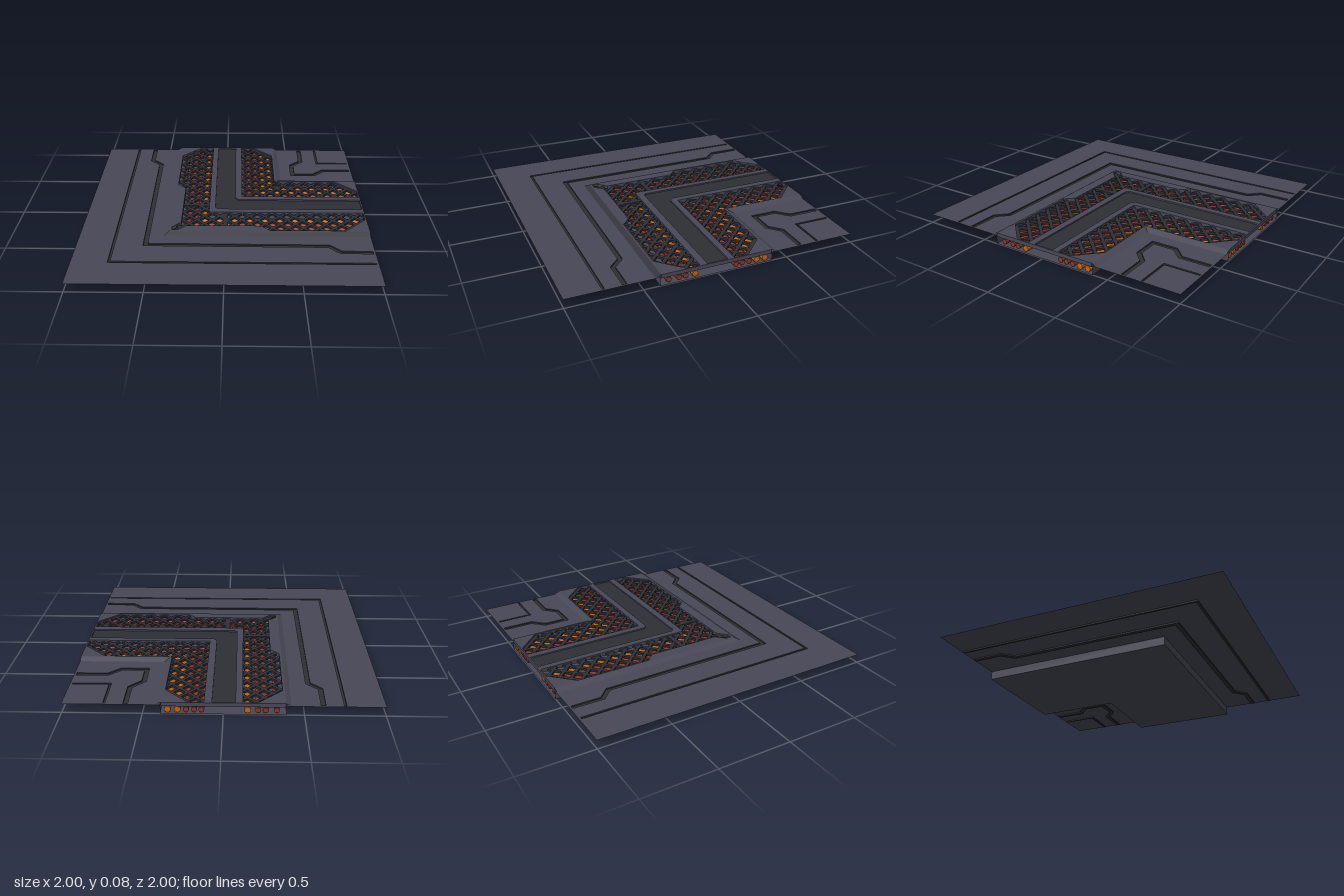
import * as THREE from 'three';

const mat = (name, color) => new THREE.MeshStandardMaterial({ name, color, side: THREE.DoubleSide });

// Heights
const SHEET = 0.061, GROOVE = 0.052, DECK = 0.08, PATH = 0.07;

// Plan outlines are lists of [x, z]
const toPath = (pts, Type) => new Type(pts.map(([x, z]) => new THREE.Vector2(x, -z)));
const mirror = pts => pts.map(([x, z]) => [-z, -x]).reverse();
const symmetric = half => [...half, ...mirror(half)];

function plate(outline, holes, y, height = 0) {
  const shape = toPath(outline, THREE.Shape);
  shape.holes = holes.map(h => toPath(h, THREE.Path));
  const geo = height
    ? new THREE.ExtrudeGeometry(shape, { depth: height, bevelEnabled: false })
    : new THREE.ShapeGeometry(shape);
  return geo.rotateX(-Math.PI / 2).translate(0, y, 0);
}

// Strip of quads between two plan lines at two heights
function strip(a, ya, b, yb, closed = false) {
  const pos = [], n = a.length;
  for (let i = 0; i < (closed ? n : n - 1); i++) {
    const j = (i + 1) % n;
    const p = [a[i][0], ya, a[i][1]], q = [a[j][0], ya, a[j][1]];
    const r = [b[j][0], yb, b[j][1]], s = [b[i][0], yb, b[i][1]];
    pos.push(...p, ...q, ...r, ...p, ...r, ...s);
  }
  const geo = new THREE.BufferGeometry();
  geo.setAttribute('position', new THREE.Float32BufferAttribute(pos, 3));
  geo.computeVertexNormals();
  return geo;
}

// Mitred band of a given width along a plan line
function band(path, width) {
  const side = d => path.map(([x, z], i) => {
    const dir = (a, b) => new THREE.Vector2(b[0] - a[0], b[1] - a[1]).normalize();
    const d1 = dir(path[Math.max(i - 1, 0)], path[Math.max(i, 1)]);
    const last = path.length - 1;
    const d2 = dir(path[Math.min(i, last - 1)], path[Math.min(i + 1, last)]);
    const nx = -d1.y - d2.y, nz = d1.x + d2.x, k = d / (1 + d1.dot(d2));
    return [x + nx * k, z + nz * k];
  });
  return [...side(width / 2), ...side(-width / 2).reverse()];
}

// Pieces of the line along dir through point p that lie inside an outline
function clipLine(p, dir, outline) {
  const hits = [];
  outline.forEach((a, i) => {
    const b = outline[(i + 1) % outline.length];
    const side = q => (q[0] - p[0]) * dir[1] - (q[1] - p[1]) * dir[0];
    const sa = side(a), sb = side(b);
    if ((sa > 0) === (sb > 0)) return;
    const t = sa / (sa - sb);
    const x = a[0] + (b[0] - a[0]) * t, z = a[1] + (b[1] - a[1]) * t;
    hits.push((x - p[0]) * dir[0] + (z - p[1]) * dir[1]);
  });
  hits.sort((u, v) => u - v);
  const out = [];
  for (let i = 0; i + 1 < hits.length; i += 2) out.push([hits[i], hits[i + 1]]);
  return out;
}

export function createModel() {
  const model = new THREE.Group();
  model.name = 'cornerFloorTile';
  const panel = mat('panelGrey', 0x484756);
  const dark = mat('darkMetal', 0x2e2e36);
  const trim = mat('trimGrey', 0x35343e);
  const orange = mat('orangePipe', 0xc8640f);
  const red = mat('redPipe', 0x8a3626);
  const add = (name, geo, material, parent = model) => {
    const mesh = new THREE.Mesh(geo, material);
    mesh.name = name;
    parent.add(mesh);
    return mesh;
  };
  const group = name => {
    const g = new THREE.Group();
    g.name = name;
    model.add(g);
    return g;
  };

  // L-shaped lines running from the back edge to the left edge
  const outerL = d => [[-d, -1], [-d, d], [1, d]];
  const innerL = d => [[d, -1], [d, -d], [1, -d]];
  const fullL = d => [...outerL(d), ...innerL(d).reverse()];

  // Inlaid grooves
  const E = 0.985;
  const outerGrooves = [
    band([[-0.75, -E], [-0.75, 0.75], [E, 0.75]], 0.016),
    band(symmetric([[-0.615, -E], [-0.615, -0.775], [-0.54, -0.7], [-0.54, 0.53]].slice(0, 3)
      .concat([[-0.535, 0.535]])).filter((p, i) => i !== 4), 0.03),
  ];
  const innerGrooves = [
    band([[0.738, -E], [0.738, -0.738], [E, -0.738]], 0.014),
    band([[0.605, -E], [0.605, -0.775], [0.525, -0.695], [0.525, -0.53],
      [0.695, -0.53], [0.775, -0.605], [E, -0.605]], 0.03),
  ];
  const grooves = group('grooves');
  for (const g of [...outerGrooves, ...innerGrooves]) {
    add('grooveFloor', plate(g, [], GROOVE), dark, grooves);
    add('grooveWalls', strip(g, GROOVE, g, SHEET, true), dark, grooves);
  }

  // Flat ground sheets on both sides of the duct
  add('outerSheet', plate([...outerL(0.39), [1, 1], [-1, 1], [-1, -1]], outerGrooves, SHEET), panel);
  add('innerSheet', plate([...innerL(0.39), [1, -1]], innerGrooves, SHEET), panel);

  // Duct under the deck, open at both ends
  add('ductFloor', plate(fullL(0.39), [], 0), panel);
  for (const line of [outerL(0.39), innerL(0.39)])
    add('ductWall', strip(line, 0, line, SHEET), panel);

  // Openings in the raised deck
  const outerOpening = [
    ...symmetric([[-0.12, -0.99], [-0.215, -0.99], [-0.37, -0.835], [-0.37, -0.31],
      [-0.31, -0.25], [-0.31, 0.27], [-0.37, 0.33], [-0.37, 0.37]]).filter((p, i) => i !== 8),
    [-0.12, 0.12]];
  const innerOpening = [[0.12, -0.99], [0.22, -0.99], [0.37, -0.84], [0.37, -0.37],
    [0.84, -0.37], [0.99, -0.22], [0.99, -0.12], [0.12, -0.12]];
  const walkway = [[-0.075, -0.99], [-0.075, 0.05], [-0.055, 0.07], [0.99, 0.07],
    [0.99, -0.075], [0.095, -0.075], [0.07, -0.1], [0.07, -0.99]];

  // Raised deck with sloping edges
  add('deck', plate(fullL(0.385), [outerOpening, innerOpening, walkway], 0.053, DECK - 0.053), panel);
  add('walkwayFloor', plate(walkway, [], PATH), dark);
  const low = outerL(0.42), high = outerL(0.385);
  add('outerSideSlope', strip(low.slice(0, 2), SHEET, high.slice(0, 2), DECK), panel);
  add('outerFrontSlope', strip(low.slice(1), SHEET, high.slice(1), DECK), trim);
  add('innerSlope', strip(innerL(0.42), SHEET, innerL(0.385), DECK), panel);

  // Diagonal grating in the openings
  const grating = group('grating');
  const pitch = 0.107, h = Math.SQRT1_2;
  for (const opening of [outerOpening, innerOpening])
    for (const s of [1, -1])
      for (let k = -20; k <= 20; k++) {
        const p = [k * pitch + 0.013, 0], dir = [h, s * h];
        for (const [t0, t1] of clipLine(p, dir, opening)) {
          const m = (t0 + t1) / 2;
          const bar = add('gratingBar', new THREE.BoxGeometry(t1 - t0, 0.014, 0.024), dark, grating);
          bar.position.set(p[0] + dir[0] * m, 0.064, p[1] + dir[1] * m);
          bar.rotation.y = -s * Math.PI / 4;
        }
      }
  add('sideCrossbar', new THREE.BoxGeometry(0.19, 0.016, 0.035), dark, grating).position.set(-0.215, 0.066, 0);
  add('frontCrossbar', new THREE.BoxGeometry(0.035, 0.016, 0.19), dark, grating).position.set(0, 0.066, 0.215);

  // Pipes bending round the corner; a negative distance is on the inner side
  const pipes = group('pipes');
  const pipe = (d, r, material) => {
    const len = 0.99 + d, mid = (0.99 - d) / 2;
    const along = add('pipeToBack', new THREE.CylinderGeometry(r, r, len, 10), material, pipes);
    along.rotation.x = Math.PI / 2;
    along.position.set(-d, 0.025, -mid);
    const across = add('pipeToSide', new THREE.CylinderGeometry(r, r, len, 10), material, pipes);
    across.rotation.z = Math.PI / 2;
    across.position.set(mid, 0.025, d);
    add('pipeElbow', new THREE.SphereGeometry(r, 10, 8), material, pipes).position.set(-d, 0.025, d);
  };
  for (const d of [0.15, -0.285, -0.345]) pipe(d, 0.021, orange);
  for (const d of [0.215, 0.26, 0.33, -0.135, -0.18, -0.23]) pipe(d, 0.018, red);

  return model;
}
